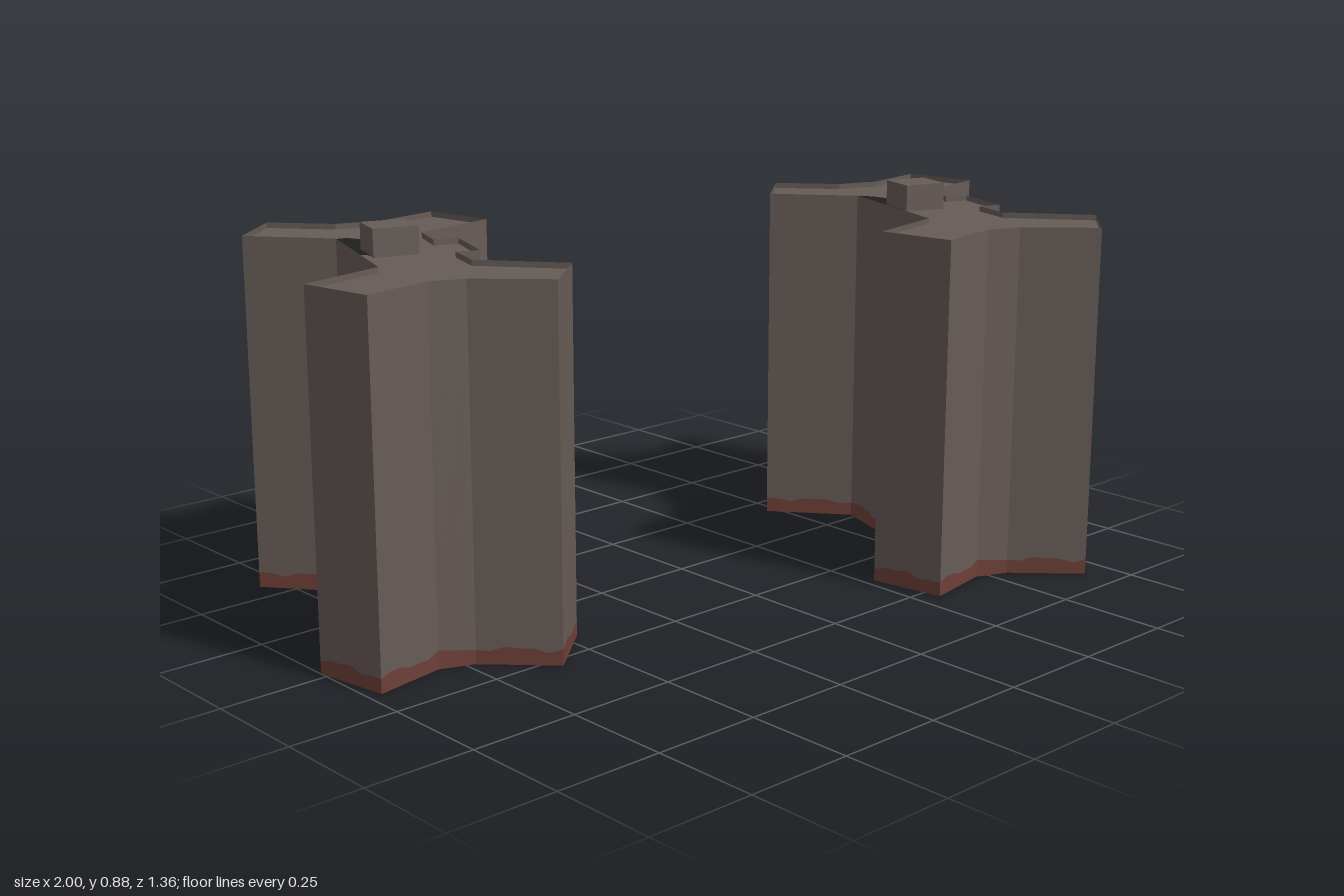
import * as THREE from 'three';

const wallMat = new THREE.MeshStandardMaterial({ color: 0x675c57 });
wallMat.name = 'warmGrey';
wallMat.side = THREE.DoubleSide;
const bandMat = new THREE.MeshStandardMaterial({ color: 0x6e4037 });
bandMat.name = 'rustRed';
bandMat.side = THREE.DoubleSide;
const sootMat = new THREE.MeshStandardMaterial({ color: 0x1f1f1f });
sootMat.name = 'soot';
sootMat.side = THREE.DoubleSide;

const WALL_TOP = 0.825, ROOF = 0.812;

// Plan of one tower, clockwise seen from above, as [x, z]
const plan = [
  [-0.67, -0.683], [-0.565, -0.56], [-0.467, -0.525], [-0.3, -0.552], [-0.27, -0.377],
  [-0.485, -0.335], [-0.52, -0.243], [-0.467, -0.222], [-0.52, -0.075], [-0.57, -0.095],
  [-0.6, 0], [-0.467, 0.17], [-0.6, 0.285], [-0.73, 0.155], [-0.805, 0.125],
  [-0.97, 0.155], [-1, -0.02], [-0.79, -0.065], [-0.67, -0.4], [-0.805, -0.57],
];

// Uneven upper edge of the stained base
const bandHeight = (s) => 0.035 + 0.005 * Math.sin(s * 43) + 0.003 * Math.sin(s * 97 + 1);

// Upright faces along the plan, between two height rules
function ribbon(low, high) {
  const pos = [];
  let s = 0;
  plan.forEach((p, i) => {
    const q = plan[(i + 1) % plan.length];
    const len = Math.hypot(q[0] - p[0], q[1] - p[1]);
    const n = Math.max(1, Math.round(len / 0.03));
    for (let k = 0; k < n; k++) {
      const at = (t, rule) => [
        p[0] + (q[0] - p[0]) * t, rule(s + len * t), p[1] + (q[1] - p[1]) * t,
      ];
      const a = k / n, b = (k + 1) / n;
      const A = at(a, low), B = at(a, high), C = at(b, high), D = at(b, low);
      pos.push(...A, ...B, ...C, ...A, ...C, ...D);
    }
    s += len;
  });
  const g = new THREE.BufferGeometry();
  g.setAttribute('position', new THREE.Float32BufferAttribute(pos, 3));
  g.computeVertexNormals();
  return g;
}

// Flat horizontal plate from [x, z] points
function plate(points, y) {
  const shape = new THREE.Shape(points.map(([x, z]) => new THREE.Vector2(x, -z)));
  return new THREE.ShapeGeometry(shape).rotateX(-Math.PI / 2).translate(0, y, 0);
}

function add(group, name, geometry, material) {
  const mesh = new THREE.Mesh(geometry, material);
  mesh.name = name;
  group.add(mesh);
  return mesh;
}

function tower() {
  const g = new THREE.Group();
  add(g, 'walls', ribbon(bandHeight, () => WALL_TOP), wallMat);
  add(g, 'baseBand', ribbon(() => 0, bandHeight), bandMat);
  add(g, 'roof', plate(plan, ROOF), wallMat);

  // Rooftop housing with a blackened back
  const housing = add(g, 'roofHousing', new THREE.BoxGeometry(0.103, 0.063, 0.095),
    [wallMat, wallMat, wallMat, wallMat, wallMat, sootMat]);
  housing.position.set(-0.638, ROOF + 0.0315, -0.241);
  housing.rotation.y = -0.31;

  // Soot marks on the roof
  add(g, 'sootTrail', plate([
    [-0.65, -0.435], [-0.633, -0.443], [-0.615, -0.435], [-0.603, -0.4], [-0.592, -0.34],
    [-0.588, -0.26], [-0.64, -0.22], [-0.695, -0.225], [-0.718, -0.25], [-0.7, -0.3],
    [-0.672, -0.37], [-0.665, -0.41],
  ], ROOF + 0.003), sootMat);
  add(g, 'sootPatch', plate([
    [-0.41, -0.355], [-0.405, -0.372], [-0.38, -0.385], [-0.345, -0.388],
    [-0.325, -0.378], [-0.335, -0.365],
  ], ROOF + 0.003), sootMat);
  add(g, 'sootSpot', new THREE.CircleGeometry(0.011, 8).rotateX(-Math.PI / 2)
    .translate(-0.578, ROOF + 0.003, -0.255), sootMat);
  return g;
}

export function createModel() {
  const model = new THREE.Group();
  model.name = 'twinTowers';
  const right = tower();
  right.name = 'rightTower';
  const left = tower();
  left.name = 'leftTower';
  left.position.set(1.267, 0.004, 0.393);
  model.add(right, left);
  return model;
}
